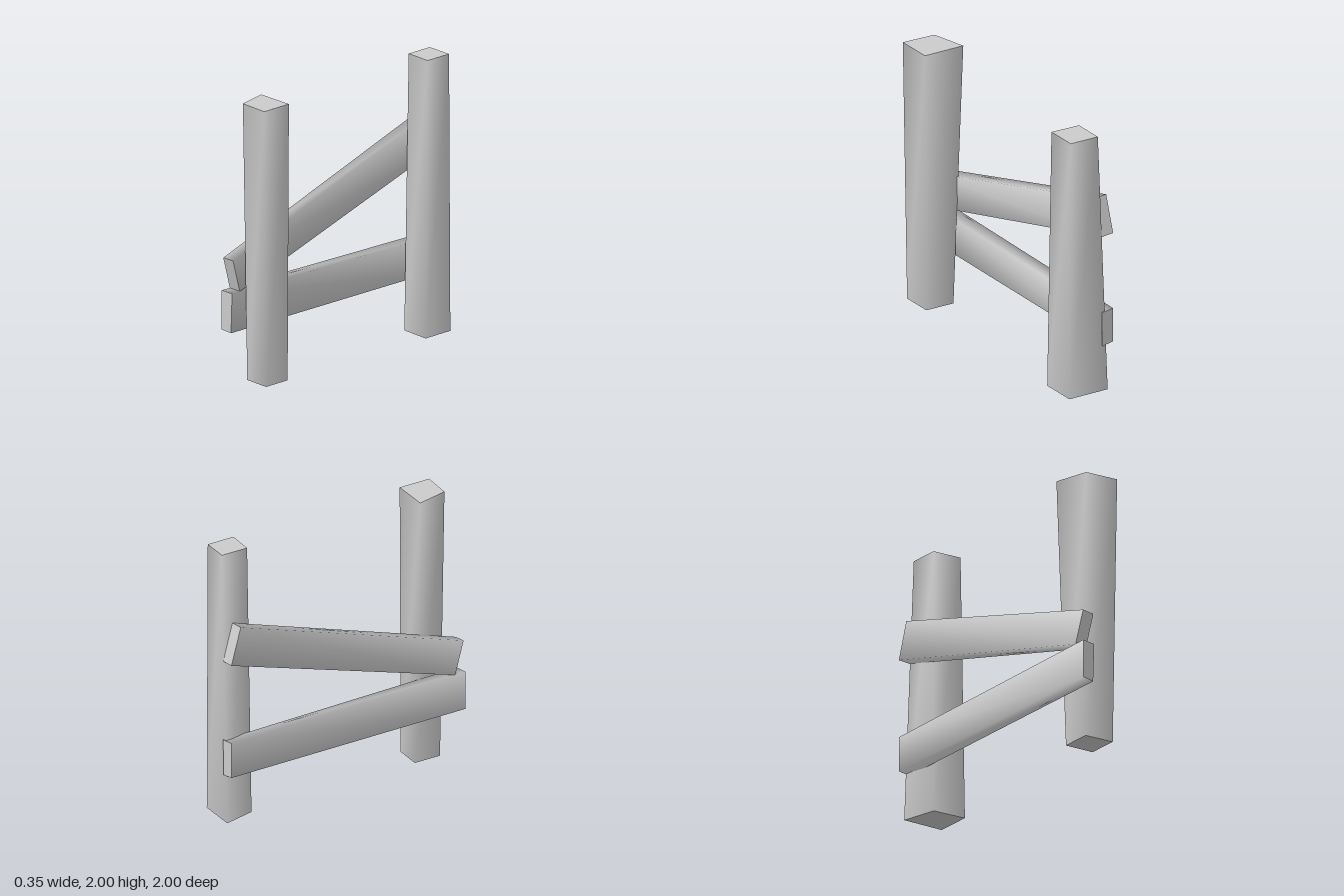
import * as THREE from 'three';

const material = new THREE.MeshStandardMaterial({ color: 0xcccccc });

// Four-sided beam between two rings: sides smooth around the corners, ends flat.
// Rings run counter-clockwise seen from the end of the beam.
function beam(name, start, end) {
  const positions = [], normals = [], index = [];
  const add = (points, faces) => {
    const part = new THREE.BufferGeometry();
    part.setAttribute('position', new THREE.Float32BufferAttribute(points.flat(), 3));
    part.setIndex(faces);
    part.computeVertexNormals();
    const base = positions.length / 3;
    positions.push(...part.attributes.position.array);
    normals.push(...part.attributes.normal.array);
    index.push(...faces.map((f) => f + base));
  };
  const sides = [];
  for (let i = 0; i < 4; i++) {
    const j = (i + 1) % 4;
    sides.push(i, j, j + 4, i, j + 4, i + 4);
  }
  add([...start, ...end], sides);
  add(start, [0, 2, 1, 0, 3, 2]);
  add(end, [0, 1, 2, 0, 2, 3]);

  const geometry = new THREE.BufferGeometry();
  geometry.setAttribute('position', new THREE.Float32BufferAttribute(positions, 3));
  geometry.setAttribute('normal', new THREE.Float32BufferAttribute(normals, 3));
  geometry.setIndex(index);
  const mesh = new THREE.Mesh(geometry, material);
  mesh.name = name;
  return mesh;
}

export function createModel() {
  const group = new THREE.Group();
  group.name = 'fence';

  // Skewed post sections (x, z): the thick and the thin end
  const thick = [[-0.07, 0.9], [0.172, 0.945], [0.172, 0.692], [-0.13, 0.65]];
  const thin = [[-0.052, 0.875], [0.16, 0.912], [0.16, 0.692], [-0.052, 0.66]];
  const ring = (section, y, dz) => section.map(([x, z]) => [x, y, z + dz]);

  // Front post widens upward, back post is the same one upside down
  group.add(beam('frontPost', ring(thin, 0, 0), ring(thick, 2, 0)));
  group.add(beam('backPost', ring(thick, 0, -1.65), ring(thin, 2, -1.65)));

  // Level rail on the right side of the posts
  group.add(beam('lowerRail',
    [[-0.178, 0.36, -1], [-0.085, 0.352, -1], [-0.08, 0.615, -1], [-0.178, 0.62, -1]],
    [[-0.178, 0.367, 1], [-0.09, 0.357, 1], [-0.08, 0.645, 1], [-0.178, 0.65, 1]]));

  // Sloping rail, rising to the back, with square-cut ends
  group.add(beam('slopingRail',
    [[-0.178, 1.21, -1], [-0.08, 1.21, -1], [-0.08, 1.48, -0.92], [-0.178, 1.48, -0.92]],
    [[-0.178, 0.645, 0.915], [-0.085, 0.64, 0.915], [-0.08, 0.88, 0.99], [-0.172, 0.885, 0.99]]));

  return group;
}
